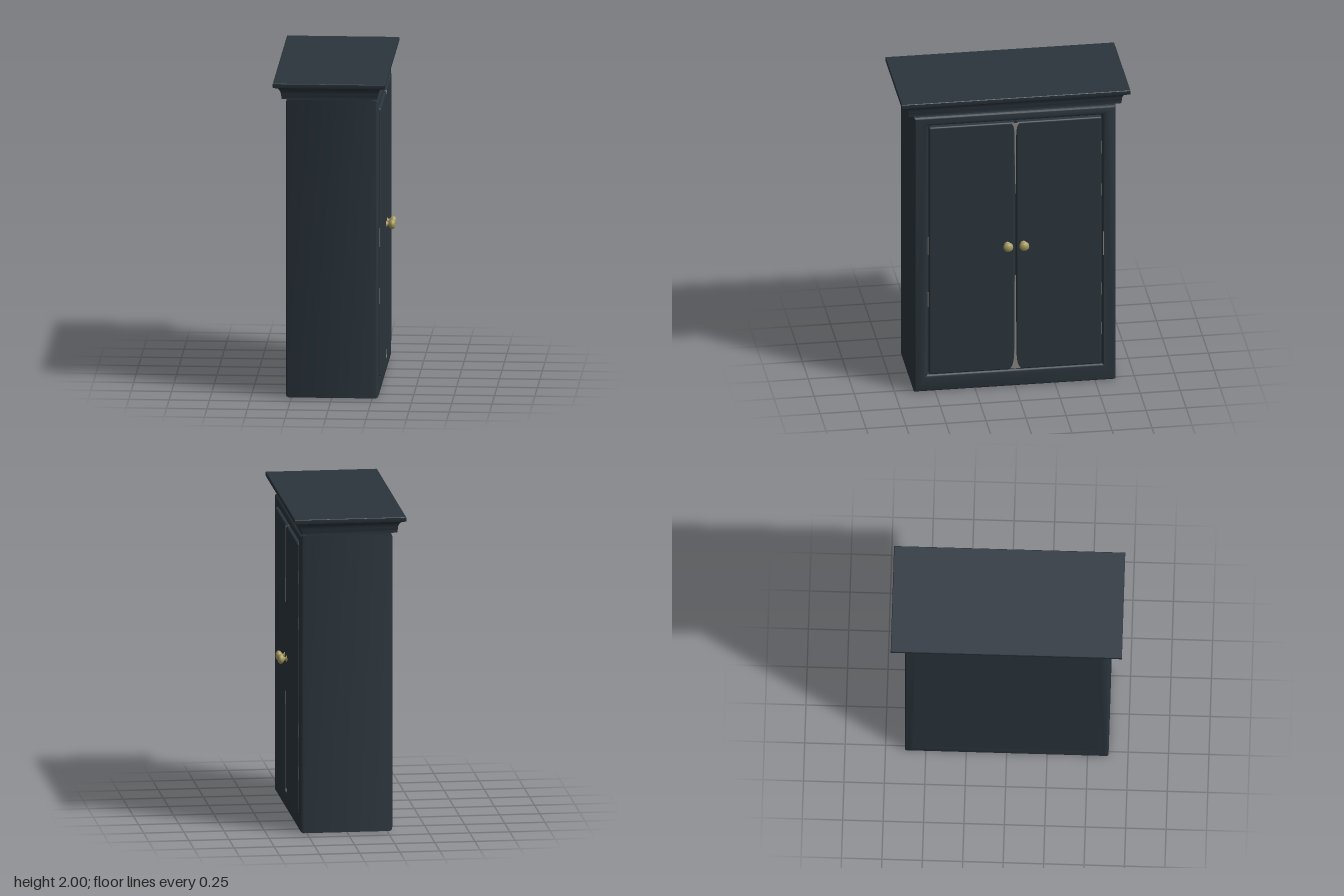
import * as THREE from 'three';
import { toCreasedNormals } from 'three/addons/utils/BufferGeometryUtils.js';
import { RoundedBoxGeometry } from 'three/addons/geometries/RoundedBoxGeometry.js';

const paint = new THREE.MeshStandardMaterial({ color: 0x2b353d });
paint.name = 'dark slate paint';
const brass = new THREE.MeshStandardMaterial({ color: 0xa79b62 });
brass.name = 'aged brass';
const bare = new THREE.MeshStandardMaterial({ color: 0x8a8580 });
bare.name = 'worn grey';

function add(parent, name, geometry, material, x = 0, y = 0, z = 0) {
  const mesh = new THREE.Mesh(geometry, material);
  mesh.name = name;
  mesh.position.set(x, y, z);
  parent.add(mesh);
  return mesh;
}

// Rectangle in the (z, y) plane of the cabinet face
function rect(path, halfW, y0, y1) {
  path.moveTo(-halfW, y0);
  path.lineTo(halfW, y0);
  path.lineTo(halfW, y1);
  path.lineTo(-halfW, y1);
  path.closePath();
  return path;
}

// Mitred moulding: rectangular rings [inset, y], bottom to top, closed at both ends
function mouldingGeometry(halfX, halfZ, profile) {
  const ring = ([d, y]) => [[1, 1], [1, -1], [-1, -1], [-1, 1]]
    .map(([sx, sz]) => [sx * (halfX - d), y, sz * (halfZ - d)]);
  const rings = profile.map(ring);
  const pos = [];
  const quad = (a, b, c, d) => pos.push(...a, ...b, ...c, ...a, ...c, ...d);
  for (let i = 0; i + 1 < rings.length; i++) {
    for (let k = 0; k < 4; k++) {
      const n = (k + 1) % 4;
      quad(rings[i][k], rings[i][n], rings[i + 1][n], rings[i + 1][k]);
    }
  }
  quad(...rings[rings.length - 1]);
  quad(...[...rings[0]].reverse());
  const g = new THREE.BufferGeometry();
  g.setAttribute('position', new THREE.Float32BufferAttribute(pos, 3));
  g.computeVertexNormals();
  return toCreasedNormals(g, 0.7);
}

export function createModel() {
  const group = new THREE.Group();
  group.name = 'wallCabinet';

  // Carcass: softened box with the door opening through its front
  const outline = rect(new THREE.Shape(), 0.63, 0, 1.88);
  outline.holes.push(rect(new THREE.Path(), 0.544, 0.115, 1.82));
  const bevel = 0.02;
  const shell = new THREE.ExtrudeGeometry(outline, {
    depth: 0.575 - 2 * bevel, bevelThickness: bevel, bevelSize: bevel,
    bevelOffset: -bevel, bevelSegments: 4,
  });
  shell.translate(0, 0, bevel);
  shell.rotateY(Math.PI / 2);
  add(group, 'carcass', toCreasedNormals(shell, 0.7), paint, -0.285);
  add(group, 'backPanel', new THREE.BoxGeometry(0.02, 1.76, 1.14), paint, -0.275, 0.9675, 0);
  add(group, 'innerPanel', new THREE.BoxGeometry(0.02, 1.72, 1.1), paint, 0.24, 0.9675, 0);

  // Crown moulding with a cove between the two fillets
  const profile = [[0.085, 1.872], [0.085, 1.893], [0.05, 1.893], [0.05, 1.91]];
  for (let i = 0; i <= 6; i++) {
    const a = (i / 6) * Math.PI / 2;
    profile.push([0.014 + 0.034 * Math.cos(a), 1.968 - 0.052 * (1 - Math.sin(a))]);
  }
  // Cove curves inward: swap to a concave sweep
  for (let i = 0; i <= 6; i++) {
    const a = (i / 6) * Math.PI / 2;
    profile[4 + i] = [0.014 + 0.034 * Math.cos(a), 1.915 + 0.053 * (1 - Math.cos(a))];
    profile[4 + i][0] = 0.014 + 0.034 * (1 - (1 - Math.cos(a)));
    profile[4 + i][1] = 1.915 + 0.053 * Math.sin(a);
  }
  profile.push([0.002, 1.972], [0, 1.977], [0, 1.997], [0.003, 2]);
  add(group, 'crownMoulding', mouldingGeometry(0.3475, 0.715, profile), paint, -0.0125);

  // Knob profile turned about its own axis, then laid along +x
  const knob = new THREE.LatheGeometry([
    [0, 0], [0.02, 0], [0.02, 0.006], [0.012, 0.01], [0.012, 0.02], [0.024, 0.026],
    [0.031, 0.037], [0.03, 0.047], [0.022, 0.056], [0.01, 0.06], [0, 0.061],
  ].map(([r, h]) => new THREE.Vector2(r, h)), 20);
  knob.rotateZ(-Math.PI / 2);

  // Pair of doors with knobs beside the meeting edges
  for (const [side, s] of [['left', -1], ['right', 1]]) {
    const door = new THREE.Group();
    door.name = side + 'Door';
    add(door, side + 'DoorPanel', new RoundedBoxGeometry(0.045, 1.695, 0.535, 3, 0.011), paint,
      0.2775, 0.9675, s * 0.272);
    add(door, side + 'Knob', knob, brass, 0.298, 0.98, s * 0.05);
    group.add(door);
  }

  // Worn paint along the meeting edges, flaring at the ends
  const wear = new THREE.Shape();
  wear.moveTo(-0.035, 0);
  wear.lineTo(0.035, 0);
  wear.quadraticCurveTo(0.008, 0.02, 0.007, 0.12);
  wear.lineTo(0.002, 0.64);
  wear.lineTo(-0.004, 0.64);
  wear.lineTo(-0.007, 0.12);
  wear.quadraticCurveTo(-0.008, 0.02, -0.035, 0);
  const wearGeo = new THREE.ExtrudeGeometry(wear, { depth: 0.003, bevelEnabled: false });
  wearGeo.rotateY(Math.PI / 2);
  add(group, 'lowerEdgeWear', wearGeo, bare, 0.298, 0.128, 0);
  const upper = add(group, 'upperEdgeWear', wearGeo, bare, 0.301, 1.809, 0);
  upper.rotation.z = Math.PI;
  upper.scale.set(1, 0.75, 0.7);

  // Small worn flecks along the hinge edges
  for (const [y, h, z] of [[1.6, 0.08, -0.541], [1.31, 0.08, -0.541], [0.63, 0.08, -0.541],
    [0.36, 0.08, -0.541], [0.94, 0.16, -0.552], [0.63, 0.1, 0.543], [1, 0.12, 0.543]]) {
    add(group, 'hingeWear', new THREE.BoxGeometry(0.006, h, 0.005), bare, 0.286, y, z);
  }
  return group;
}
